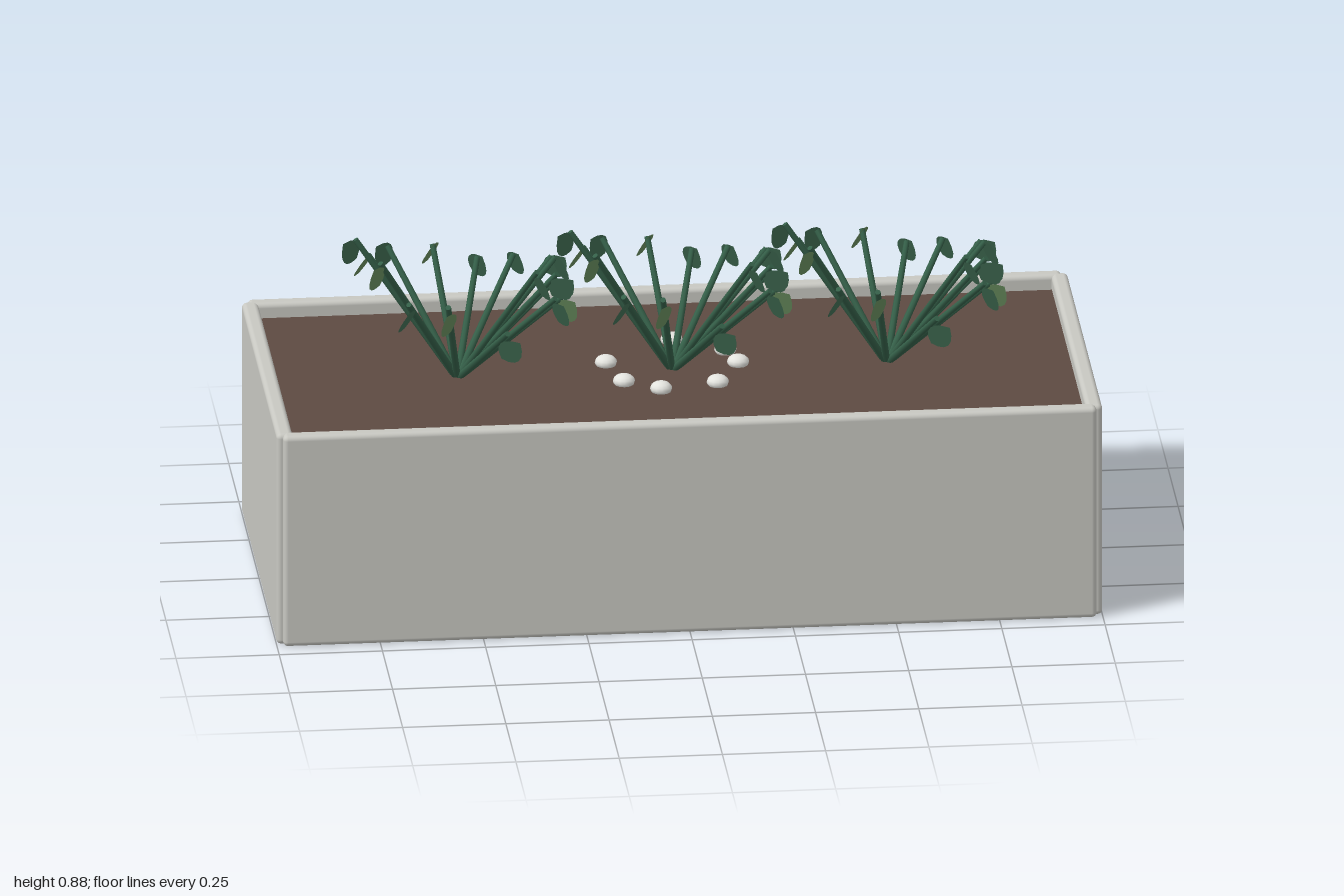
import * as THREE from 'three';
import { RoundedBoxGeometry } from 'three/addons/geometries/RoundedBoxGeometry.js';

const paint = (name, color, side = THREE.FrontSide) => {
  const m = new THREE.MeshStandardMaterial({ color, side });
  m.name = name;
  return m;
};

export function createModel() {
  const model = new THREE.Group();
  model.name = 'planter';
  const concrete = paint('paleConcrete', 0xc8c8c2);
  const earth = paint('brownSoil', 0x5d4a42);
  const stemGreen = paint('stemGreen', 0x356049);
  const leafGreen = paint('leafGreen', 0x426f55, THREE.DoubleSide);
  const lightGreen = paint('lightLeafGreen', 0x6a9060, THREE.DoubleSide);
  const white = paint('whitePebble', 0xe4e4df);

  const add = (parent, name, geometry, material, x = 0, y = 0, z = 0) => {
    const mesh = new THREE.Mesh(geometry, material);
    mesh.name = name;
    mesh.position.set(x, y, z);
    parent.add(mesh);
    return mesh;
  };

  // Open-bottomed box made of four softly rounded panels
  const H = 0.545;
  const longWall = new RoundedBoxGeometry(1.97, H, 0.04, 3, 0.012);
  const endWall = new RoundedBoxGeometry(0.04, H, 0.874, 3, 0.012);
  for (const s of [1, -1]) {
    add(model, s > 0 ? 'frontWall' : 'backWall', longWall, concrete, 0, H / 2, s * 0.435);
    add(model, s > 0 ? 'leftWall' : 'rightWall', endWall, concrete, s * 0.98, H / 2, 0);
  }

  // Shallow slab of soil just below the rim
  add(model, 'soil', new THREE.BoxGeometry(1.925, 0.045, 0.82), earth, 0, 0.4875, 0);

  // Flat pebbles in a ring round the middle plant
  const pebble = new THREE.SphereGeometry(0.027, 12, 8);
  pebble.scale(1, 0.65, 1);
  for (const deg of [0, 52, 105, 142, 190, 275, 329]) {
    const a = THREE.MathUtils.degToRad(deg);
    add(model, 'pebble', pebble, white, 0.16 * Math.cos(a), 0.518, 0.16 * Math.sin(a));
  }

  // Pointed leaf, long axis on y
  const outline = new THREE.Shape();
  outline.moveTo(0, -0.062);
  outline.bezierCurveTo(0.04, -0.04, 0.042, 0.015, 0, 0.062);
  outline.bezierCurveTo(-0.042, 0.015, -0.04, -0.04, 0, -0.062);
  const leafShape = new THREE.ShapeGeometry(outline, 6);

  // Leaf centres relative to the plant's root: x, y, z, 1 when light green
  const leaves = [
    [-0.05, 0.76, 0.30, 1], [0.10, 0.69, 0.31, 0], [0.18, 0.83, 0.26, 0],
    [-0.145, 0.75, 0.24, 0], [-0.21, 0.83, 0.155, 1], [0.23, 0.745, 0.22, 0],
    [0.24, 0.785, 0.15, 0], [0.25, 0.78, 0.01, 0], [0.26, 0.695, 0.07, 1],
    [0.26, 0.70, -0.06, 0], [-0.26, 0.84, 0.0, 0], [-0.22, 0.77, -0.085, 1],
    [0.16, 0.72, -0.19, 0], [0.07, 0.71, -0.21, 0], [-0.045, 0.75, -0.20, 1],
    [-0.16, 0.75, -0.20, 0], [0.25, 0.74, -0.11, 0],
  ];
  const root = new THREE.Vector3(0, 0.5, 0);
  const up = new THREE.Vector3(0, 1, 0);

  // Three matching plants, each a fan of straight stems with one leaf apiece
  for (const px of [-0.52, 0, 0.52]) {
    const plant = new THREE.Group();
    plant.name = 'plant';
    plant.position.x = px;
    model.add(plant);
    leaves.forEach(([x, y, z, light], i) => {
      const tip = new THREE.Vector3(x * 0.95, y + 0.03, z * 0.88);
      const dir = tip.clone().sub(root);
      const stem = add(plant, 'stem',
        new THREE.CylinderGeometry(0.007, 0.009, dir.length(), 8), stemGreen);
      stem.position.copy(root).addScaledVector(dir, 0.5);
      stem.quaternion.setFromUnitVectors(up, dir.normalize());

      const s = Math.sign(x);
      const twist = 0.45 * Math.sin(i * 2.4);
      const along = new THREE.Vector3(s * 0.15 + twist * 0.5, 0.62, 0.76).normalize();
      const face = new THREE.Vector3(s * 0.75, 0.5 + twist * 0.3, -0.4);
      const across = new THREE.Vector3().crossVectors(along, face).normalize();
      face.crossVectors(across, along);
      const leaf = add(plant, 'leaf', leafShape, light ? lightGreen : leafGreen, x, y, z);
      leaf.quaternion.setFromRotationMatrix(new THREE.Matrix4().makeBasis(across, along, face));
    });
  }
  return model;
}
